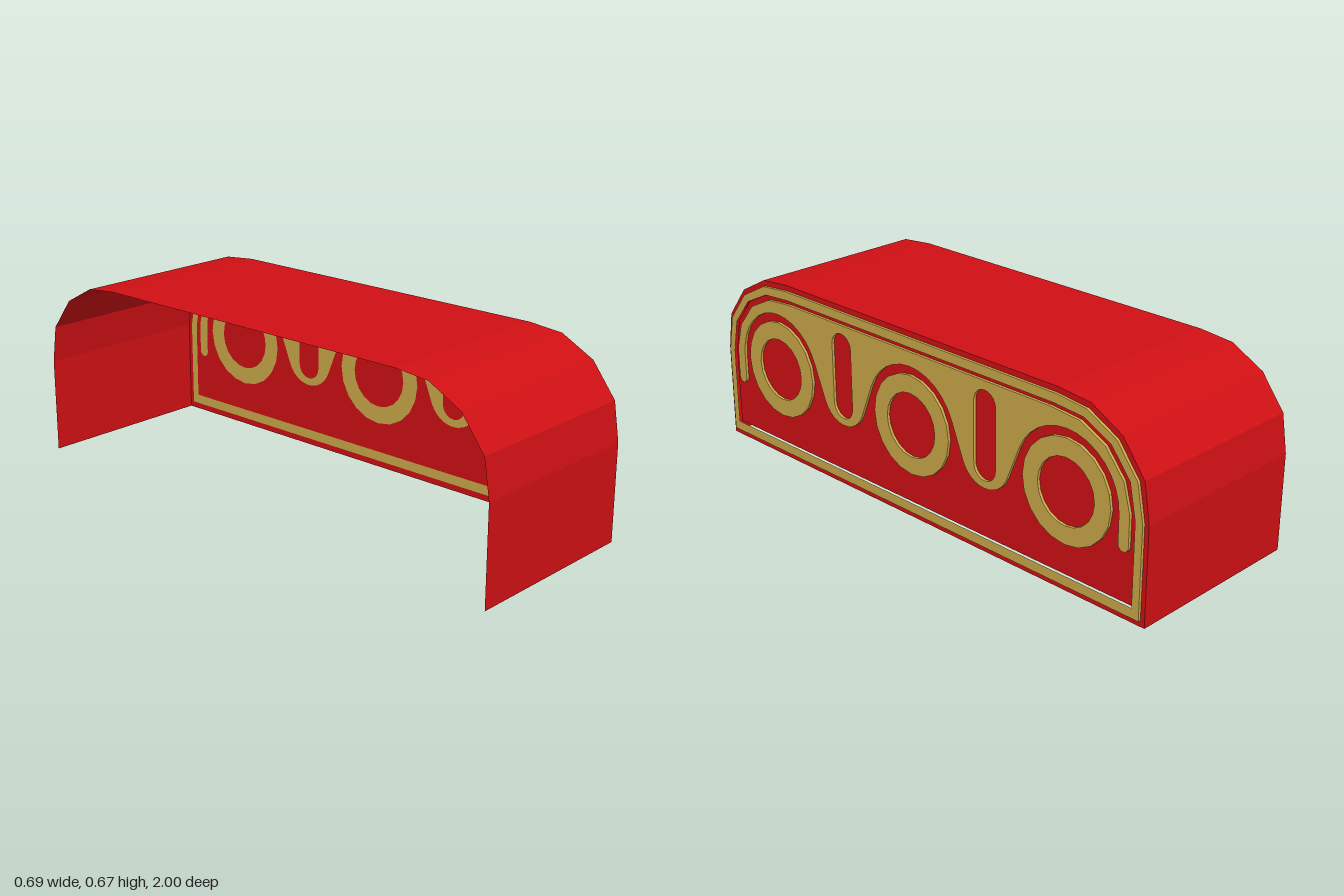
import * as THREE from 'three';

const V = (x, y) => new THREE.Vector2(x, y);
const FACE = 0.335, BACK = -0.345, RAISE = 0.01;

// Points along an arc, angles in degrees
function arc(cx, cy, r, a0, a1, n) {
  return Array.from({ length: n + 1 }, (_, i) => {
    const a = THREE.MathUtils.degToRad(a0 + (a1 - a0) * i / n);
    return V(cx + r * Math.cos(a), cy + r * Math.sin(a));
  });
}

// Right half, bottom to top, mirrored into a left-to-right arch
function arch(half) {
  const right = half.map(([x, y]) => V(x, y));
  return [...right.map(p => V(-p.x, p.y)), ...right.reverse()];
}

const circle = (x, r) => arc(x, 0.345, r, 0, 342, 19);
const slot = x => [...arc(x, 0.527, 0.048, 0, 180, 10), ...arc(x, 0.31, 0.048, 180, 360, 10)];

function shapeOf(points, holes = []) {
  const s = new THREE.Shape(points);
  s.holes = holes.map(h => new THREE.Path(h));
  return s;
}

export function createModel() {
  const group = new THREE.Group();
  const red = new THREE.MeshStandardMaterial({ color: 0xd01014, side: THREE.DoubleSide, flatShading: true });
  const gold = new THREE.MeshStandardMaterial({ color: 0xccaa4a });

  const add = (name, geometry, material) => {
    const mesh = new THREE.Mesh(geometry, material);
    mesh.name = name;
    group.add(mesh);
  };
  // Flat shapes are drawn in the z-y plane and turned to face +x
  const sheet = (name, shape) =>
    add(name, new THREE.ShapeGeometry(shape).rotateY(Math.PI / 2).translate(FACE, 0, 0), red);
  const relief = (name, shape) =>
    add(name, new THREE.ExtrudeGeometry(shape, { depth: RAISE, bevelEnabled: false })
      .rotateY(Math.PI / 2).translate(FACE, 0, 0), gold);

  // Nested arch outlines
  const outline = arch([[1, 0], [1, 0.345], [0.978, 0.48], [0.89, 0.595], [0.768, 0.66], [0.64, 0.672]]);
  const frameOuter = arch([[0.984, 0.022], [0.984, 0.345], [0.96, 0.473], [0.877, 0.58], [0.76, 0.641], [0.635, 0.653]]);
  const frameInner = arch([[0.956, 0.057], [0.956, 0.345], [0.932, 0.465], [0.856, 0.56], [0.748, 0.612], [0.63, 0.621]]);

  // Scalloped ornament: thin arms at the ends, lobes hanging between the rings
  const ringX = [0.685, 0, -0.685], slotX = [0.3425, -0.3425];
  const ornament = [
    ...arch([[0.935, 0.36], [0.908, 0.458], [0.835, 0.547], [0.735, 0.596], [0.62, 0.606]]),
    ...arc(0.915, 0.25, 0.02, 0, -180, 8),
    ...arc(ringX[0], 0.345, 0.21, 0, 158, 14),
    ...arc(slotX[0], 0.34, 0.105, -22, -158, 12),
    ...arc(ringX[1], 0.345, 0.21, 22, 158, 12),
    ...arc(slotX[1], 0.34, 0.105, -22, -158, 12),
    ...arc(ringX[2], 0.345, 0.21, 22, 180, 14),
    ...arc(-0.915, 0.25, 0.02, 0, -180, 8),
  ];

  // Bent cover, open at the back and underneath
  const pos = [];
  for (let i = 0; i < outline.length - 1; i++) {
    const a = outline[i], b = outline[i + 1];
    const quad = [[BACK, a], [FACE, a], [FACE, b], [BACK, a], [FACE, b], [BACK, b]];
    // outline x maps to -z
    for (const [x, p] of quad) pos.push(x, p.y, -p.x);
  }
  // reverse the triangles so that they face outward
  const cover = new THREE.BufferGeometry();
  cover.setAttribute('position', new THREE.Float32BufferAttribute(pos, 3));
  const index = [];
  for (let i = 0; i < pos.length / 3; i += 3) index.push(i, i + 2, i + 1);
  cover.setIndex(index);
  const coverFlat = cover.toNonIndexed();
  coverFlat.computeVertexNormals();
  const mid = new THREE.Vector3().fromBufferAttribute(coverFlat.attributes.normal, 5 * 6);
  if (mid.y < 0) { // keep the roof facing up
    coverFlat.setAttribute('position', new THREE.Float32BufferAttribute(pos, 3));
    coverFlat.computeVertexNormals();
  }
  add('cover', coverFlat, red);

  // Red panel pieces between the gold parts
  sheet('panelBorder', shapeOf(outline, [frameOuter]));
  sheet('panelField', shapeOf(frameInner, [ornament, ...ringX.map(x => circle(x, 0.179))]));
  ringX.forEach(x => sheet('ringCentre', shapeOf(circle(x, 0.115))));
  slotX.forEach(x => sheet('slotCentre', shapeOf(slot(x))));

  // Raised gold trim
  relief('frame', shapeOf(frameOuter, [frameInner]));
  relief('ornament', shapeOf(ornament, slotX.map(slot)));
  ringX.forEach(x => relief('ring', shapeOf(circle(x, 0.179), [circle(x, 0.115)])));

  return group;
}
